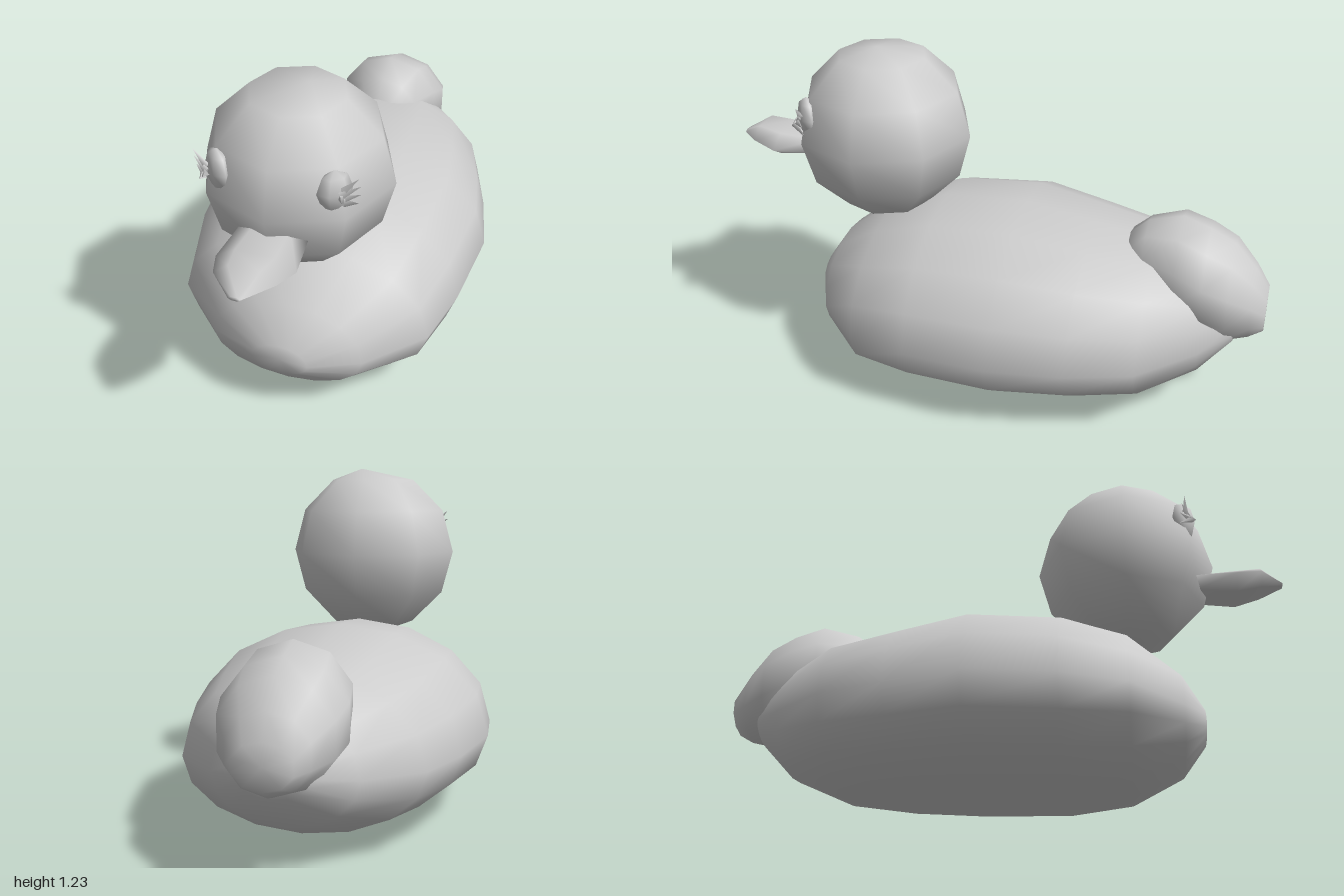
import * as THREE from 'three';

const grey = new THREE.MeshStandardMaterial({ color: 0xcccccc });
grey.name = 'plain grey';

// Closed smooth skin over oval sections [z, halfWidth, bottom, top], listed back to front
function loft(name, sections, sides, middle = 0.43, spin = 0) {
  const pos = [], index = [];
  for (const [z, w, bottom, top] of sections) {
    const mid = bottom + (top - bottom) * middle;
    for (let j = 0; j < sides; j++) {
      const a = (j / sides) * Math.PI * 2 + spin, s = Math.sin(a);
      pos.push(Math.cos(a) * w, mid + s * (s > 0 ? top - mid : mid - bottom), z);
    }
  }
  const last = sections.length - 1, back = pos.length / 3, front = back + 1;
  for (const i of [0, last]) pos.push(0, (sections[i][2] + sections[i][3]) / 2, sections[i][0]);
  for (let j = 0; j < sides; j++) {
    const k = (j + 1) % sides;
    for (let i = 0; i < last; i++) {
      const a = i * sides + j, b = i * sides + k;
      index.push(a, b, a + sides, b, b + sides, a + sides);
    }
    index.push(back, k, j, front, last * sides + j, last * sides + k);
  }
  const g = new THREE.BufferGeometry();
  g.setAttribute('position', new THREE.Float32BufferAttribute(pos, 3));
  g.setIndex(index);
  g.computeVertexNormals();
  const mesh = new THREE.Mesh(g, grey);
  mesh.name = name;
  return mesh;
}

// Low-poly ball whose poles lean slightly sideways
function makeHead() {
  const g = new THREE.SphereGeometry(0.325, 8, 6);
  const p = g.attributes.position;
  for (let i = 0; i < p.count; i++) {
    const y = p.getY(i);
    if (Math.abs(y) > 0.3) p.setX(i, p.getX(i) + Math.sign(y) * 0.045);
  }
  const head = new THREE.Mesh(g, grey);
  head.name = 'head';
  head.position.set(0, 0.908, 0.43);
  return head;
}

// Eye lump with a fan of pointed lashes on its outer side
function makeEye(side) {
  const eye = new THREE.Group();
  eye.name = side > 0 ? 'leftEye' : 'rightEye';
  eye.position.set(side * 0.19, 1.0, 0.645);
  eye.rotation.y = side * 0.7;

  const lid = new THREE.Mesh(new THREE.SphereGeometry(1, 6, 4), grey);
  lid.name = 'eyelid';
  lid.scale.set(0.06, 0.075, 0.035);
  eye.add(lid);

  for (let i = 0; i < 4; i++) {
    const lash = new THREE.Mesh(new THREE.ConeGeometry(0.014, 0.07, 3), grey);
    lash.name = 'eyelash';
    lash.position.set(side * 0.035, -0.03 + i * 0.022, 0.04);
    lash.rotation.set(0.5, 0, -side * (2.1 - i * 0.5));
    eye.add(lash);
  }
  return eye;
}

export function createModel() {
  const duck = new THREE.Group();
  duck.name = 'duck';

  duck.add(loft('body', [
    [-0.90, 0.12, 0.26, 0.42],
    [-0.79, 0.24, 0.14, 0.52],
    [-0.60, 0.41, 0.06, 0.60],
    [-0.37, 0.485, 0.03, 0.635],
    [-0.11, 0.54, 0.015, 0.68],
    [0.20, 0.51, 0.005, 0.66],
    [0.42, 0.455, 0.03, 0.585],
    [0.60, 0.27, 0.11, 0.45],
    [0.68, 0.10, 0.21, 0.33],
  ], 16));

  duck.add(loft('tail', [
    [-1.00, 0.10, 0.31, 0.46],
    [-0.95, 0.14, 0.28, 0.54],
    [-0.87, 0.195, 0.26, 0.63],
    [-0.78, 0.215, 0.28, 0.675],
    [-0.68, 0.20, 0.33, 0.71],
    [-0.56, 0.14, 0.42, 0.675],
    [-0.49, 0.09, 0.50, 0.61],
  ], 10, 0.5, Math.PI / 10));

  duck.add(makeHead());

  duck.add(loft('beak', [
    [0.68, 0.115, 0.785, 0.85],
    [0.83, 0.13, 0.765, 0.86],
    [0.92, 0.10, 0.785, 0.872],
    [1.00, 0.02, 0.81, 0.825],
  ], 6, 0.5));

  for (const side of [-1, 1]) duck.add(makeEye(side));
  return duck;
}
